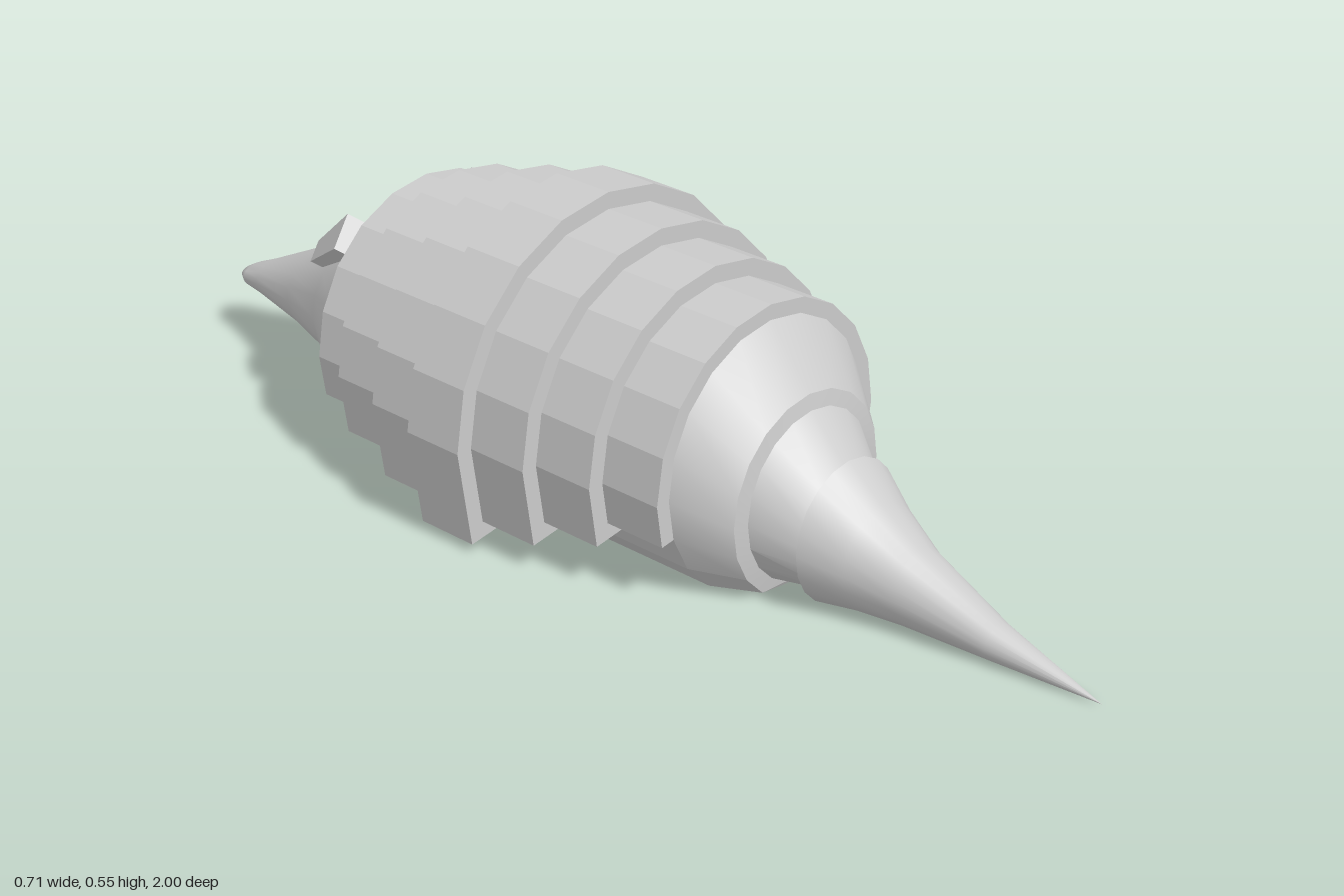
import * as THREE from 'three';
import { mergeVertices, toCreasedNormals } from 'three/addons/utils/BufferGeometryUtils.js';

const SIDES = 20;
const CENTRE = 0.193; // height of the trunk axis
const TRUNK_R = 0.238;

function addMesh(group, name, geometry) {
  const material = new THREE.MeshStandardMaterial({ color: 0xcccccc, side: THREE.DoubleSide });
  const mesh = new THREE.Mesh(geometry, material);
  mesh.name = name;
  group.add(mesh);
  return mesh;
}

// Skin of elliptical rings [z, half width, centre height, half height], flattened at the ground
function loft(rings, crease) {
  const pos = [], index = [];
  for (const [z, rx, cy, ry] of rings) {
    for (let j = 0; j < SIDES; j++) {
      const a = (j / SIDES) * Math.PI * 2;
      pos.push(rx * Math.cos(a), Math.max(0, cy + ry * Math.sin(a)), z);
    }
  }
  for (let i = 0; i < rings.length - 1; i++) {
    for (let j = 0; j < SIDES; j++) {
      const k = (j + 1) % SIDES;
      const a = i * SIDES + j, b = i * SIDES + k, c = b + SIDES, d = a + SIDES;
      if (rings[i][1] > 0) index.push(a, b, rings[i + 1][1] > 0 ? c : d);
      if (rings[i + 1][1] > 0) index.push(a, c, d);
    }
  }
  const g = new THREE.BufferGeometry();
  g.setAttribute('position', new THREE.Float32BufferAttribute(pos, 3));
  g.setIndex(index);
  return toCreasedNormals(mergeVertices(g), crease);
}

// Arched armour plate with straight skirts at both sides
function bandGeometry(radius, skirt, depth) {
  const tilt = Math.PI / SIDES;
  const arch = (r, len) => {
    const pts = [];
    const x = r - len * Math.sin(tilt), y = CENTRE - len * Math.cos(tilt);
    pts.push(new THREE.Vector2(x, y));
    for (let j = 0; j <= SIDES / 2; j++) {
      const a = (j / SIDES) * Math.PI * 2;
      pts.push(new THREE.Vector2(r * Math.cos(a), CENTRE + r * Math.sin(a)));
    }
    pts.push(new THREE.Vector2(-x, y));
    return pts;
  };
  const inner = arch(TRUNK_R - 0.001, skirt - (radius - TRUNK_R) * Math.sin(tilt));
  const shape = new THREE.Shape([...arch(radius, skirt), ...inner.reverse()]);
  return new THREE.ExtrudeGeometry(shape, { depth, bevelEnabled: false });
}

export function createModel() {
  const model = new THREE.Group();
  model.name = 'armadillo';

  // Trunk with stepped rump
  addMesh(model, 'trunk', loft([
    [-0.48, TRUNK_R, CENTRE, TRUNK_R],
    [0.32, TRUNK_R, CENTRE, TRUNK_R],
    [0.405, 0.178, 0.15, 0.178],
    [0.41, 0.15, 0.15, 0.15],
    [0.49, 0.1, 0.113, 0.105],
    [0.49, 0, 0.113, 0],
  ], 0.3));

  // Head tapering to a rounded snout
  addMesh(model, 'head', loft([
    [-1, 0, 0.116, 0],
    [-0.993, 0.02, 0.116, 0.012],
    [-0.97, 0.035, 0.119, 0.022],
    [-0.92, 0.046, 0.127, 0.036],
    [-0.77, 0.095, 0.155, 0.08],
    [-0.63, 0.155, 0.186, 0.13],
    [-0.52, 0.22, 0.19, 0.212],
    [-0.48, TRUNK_R, CENTRE, TRUNK_R],
  ], 0.7));

  // Tail resting on the ground
  addMesh(model, 'tail', loft([
    [0.49, 0, 0.113, 0],
    [0.49, 0.125, 0.113, 0.125],
    [0.56, 0.092, 0.09, 0.094],
    [0.64, 0.065, 0.066, 0.067],
    [0.8, 0.034, 0.032, 0.032],
    [1, 0, 0.003, 0],
  ], 0.6));

  // Seven armour bands, largest in the middle
  const bands = new THREE.Group();
  bands.name = 'armourBands';
  model.add(bands);
  for (let i = -3; i <= 3; i++) {
    const step = Math.abs(i);
    const depth = i === -3 ? 0.085 : 0.12;
    const band = addMesh(bands, 'armourBand', bandGeometry(0.357 - step * 0.0305, 0.18 - step * 0.034, depth));
    band.position.z = -0.1 + i * 0.12 + 0.06 - depth;
  }

  // Small wedge ears, wider at the back
  for (const side of [-1, 1]) {
    const g = new THREE.BoxGeometry(0.07, 0.035, 0.14);
    const p = g.attributes.position;
    for (let i = 0; i < p.count; i++) {
      if (p.getZ(i) < 0) p.setXY(i, p.getX(i) * 0.6, p.getY(i) * 0.7);
    }
    g.computeVertexNormals();
    const ear = addMesh(model, side > 0 ? 'leftEar' : 'rightEar', g);
    ear.position.set(side * 0.15, 0.345, -0.565);
    ear.rotation.set(-0.6, side * 0.2, -side * 0.75);
  }
  return model;
}
